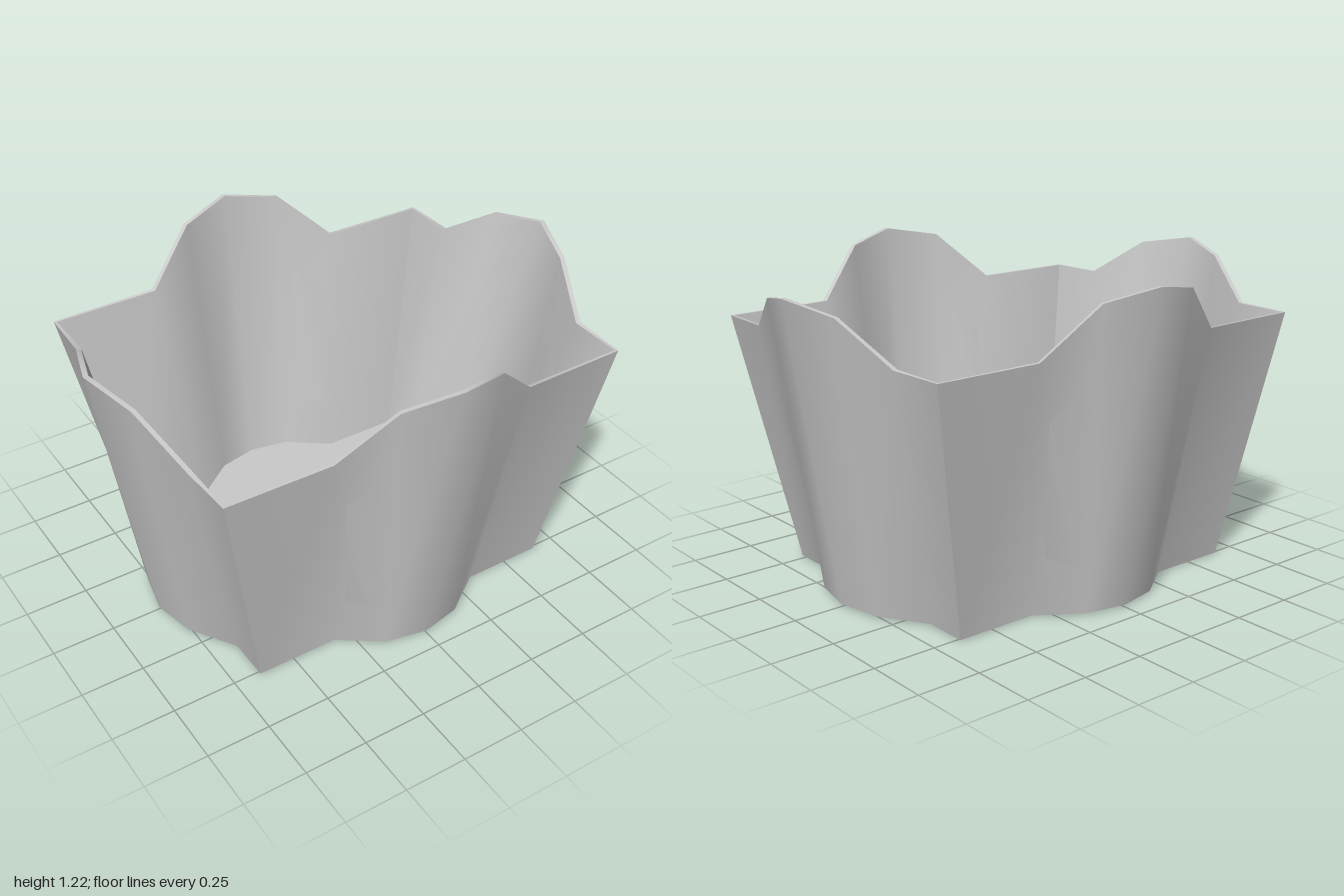
import * as THREE from 'three';

// Half outlines of a wall, from its corner to its middle: [along, outward, height]
const OUTER_TOP = {
  long: [[0.836, 0.655, 0.99], [0.415, 0.661, 0.99], [0.215, 0.752, 1.18], [0, 0.815, 1.22]],
  short: [[0.655, 0.836, 0.99], [0.43, 0.846, 0.99], [0.215, 0.93, 1.14], [0, 1, 1.18]],
};
const INNER_TOP = {
  long: [[0.827, 0.646, 0.99], [0.41, 0.646, 0.99], [0.208, 0.735, 1.18], [0, 0.797, 1.22]],
  short: [[0.646, 0.827, 0.99], [0.427, 0.827, 0.99], [0.21, 0.912, 1.14], [0, 0.98, 1.18]],
};
const OUTER_BASE = {
  long: [[0.647, 0.515, 0.004], [0.325, 0.517, 0.006], [0.16, 0.635, 0.009], [0, 0.67, 0.01]],
  short: [[0.515, 0.647, 0.004], [0.345, 0.65, 0.006], [0.17, 0.765, 0.009], [0, 0.803, 0.01]],
};
const INNER_BASE = {
  long: [[0.635, 0.505, 0.02], [0.318, 0.505, 0.02], [0.158, 0.625, 0.02], [0, 0.657, 0.02]],
  short: [[0.505, 0.635, 0.02], [0.338, 0.635, 0.02], [0.168, 0.75, 0.02], [0, 0.787, 0.02]],
};

// Full outline of one of the four walls, running anticlockwise seen from above
function wallLine(outline, side) {
  const half = side % 2 ? outline.short : outline.long;
  const left = half.map(([s, o, y]) => [-s, o, y]);
  const right = half.slice(0, -1).reverse();
  const angle = side * Math.PI / 2;
  return [...left, ...right].map(([s, o, y]) =>
    new THREE.Vector3(s, y, o).applyAxisAngle(new THREE.Vector3(0, 1, 0), angle));
}

// Ruled surface between two lines, smooth along its length
function strip(a, b) {
  const geometry = new THREE.BufferGeometry().setFromPoints([...a, ...b]);
  const index = [];
  const n = a.length;
  for (let i = 0; i < n - 1; i++) {
    index.push(i, i + 1, n + i + 1, i, n + i + 1, n + i);
  }
  geometry.setIndex(index);
  geometry.computeVertexNormals();
  return geometry;
}

// Shallow cap spanning a closed outline
function cap(outline, y, up) {
  const ring = [0, 1, 2, 3].flatMap((side) => wallLine(outline, side).slice(0, -1));
  const geometry = new THREE.BufferGeometry().setFromPoints([new THREE.Vector3(0, y, 0), ...ring]);
  const index = [];
  for (let i = 0; i < ring.length; i++) {
    const p = i + 1;
    const q = (i + 1) % ring.length + 1;
    index.push(0, up ? p : q, up ? q : p);
  }
  geometry.setIndex(index);
  geometry.computeVertexNormals();
  return geometry;
}

export function createModel() {
  const group = new THREE.Group();
  group.name = 'scallopedBasket';
  const grey = new THREE.MeshStandardMaterial({ color: 0xcacaca, side: THREE.DoubleSide });
  grey.name = 'lightGrey';

  const add = (name, geometry, parent = group) => {
    const mesh = new THREE.Mesh(geometry, grey);
    mesh.name = name;
    parent.add(mesh);
  };

  // Four flared walls, each with an outside, an inside and a thin rim
  ['front', 'left', 'back', 'right'].forEach((name, side) => {
    const wall = new THREE.Group();
    wall.name = name + 'Wall';
    group.add(wall);
    const outerTop = wallLine(OUTER_TOP, side);
    const innerTop = wallLine(INNER_TOP, side);
    add(name + 'Outside', strip(wallLine(OUTER_BASE, side), outerTop), wall);
    add(name + 'Rim', strip(outerTop, innerTop), wall);
    add(name + 'Inside', strip(innerTop, wallLine(INNER_BASE, side)), wall);
  });

  // Floor and underside
  add('floor', cap(INNER_BASE, 0.02, true));
  add('underside', cap(OUTER_BASE, 0, false));
  return group;
}
